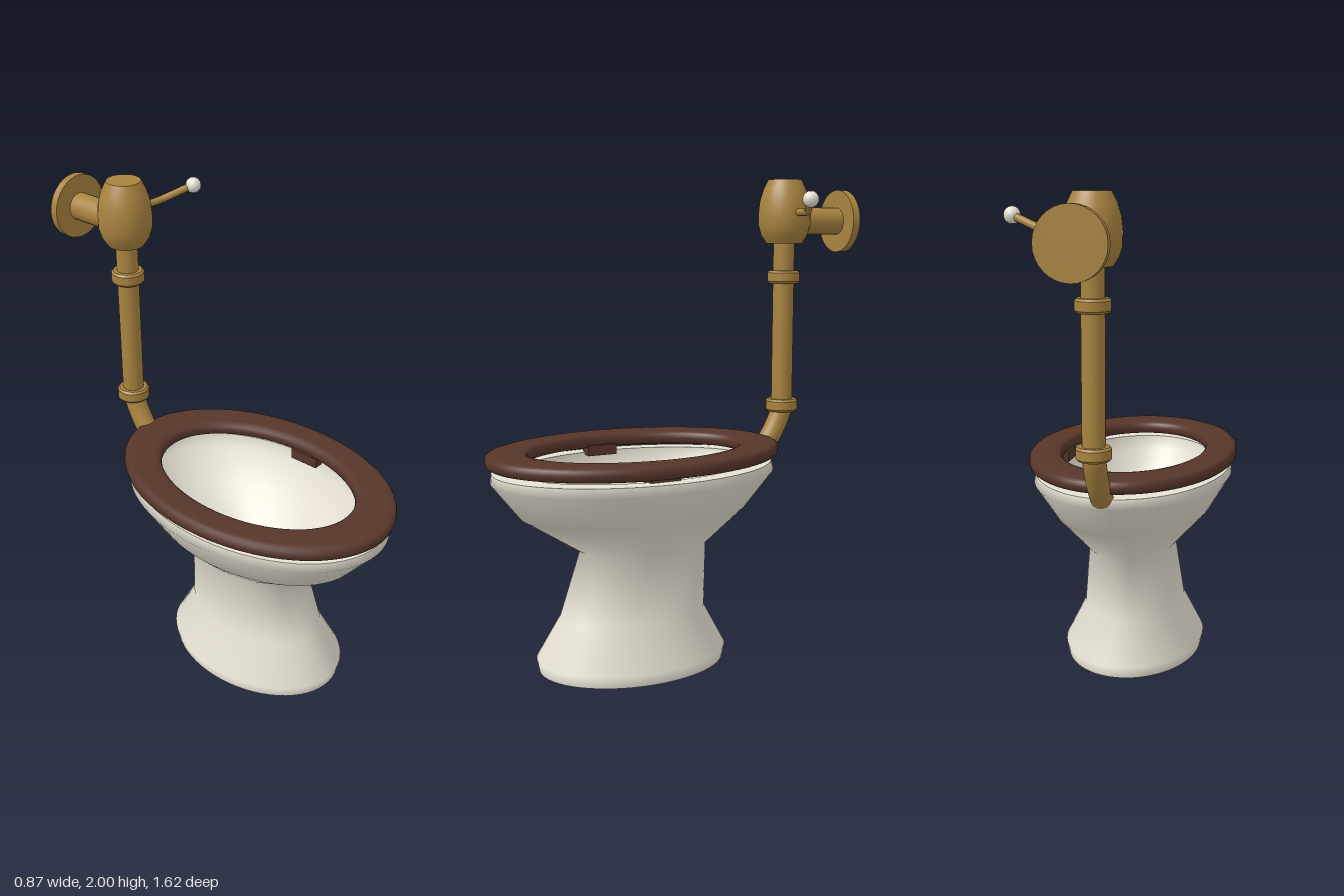
import * as THREE from 'three';
import { mergeGeometries } from 'three/addons/utils/BufferGeometryUtils.js';

const porcelain = new THREE.MeshStandardMaterial({ color: 0xe6e1d3 });
const brass = new THREE.MeshStandardMaterial({ color: 0xa8833f });
const wood = new THREE.MeshStandardMaterial({ color: 0x57362a });

// Skin through elliptical rings given as [y, half width, front z, back z]
function loft(rings, n = 64) {
  const pos = [], idx = [];
  for (const [y, rx, zf, zb] of rings) {
    for (let i = 0; i < n; i++) {
      const a = (i / n) * Math.PI * 2;
      pos.push(rx * Math.cos(a), y, (zf + zb) / 2 + ((zf - zb) / 2) * Math.sin(a));
    }
  }
  for (let r = 0; r < rings.length - 1; r++) {
    for (let i = 0; i < n; i++) {
      const a = r * n + i, b = r * n + ((i + 1) % n);
      idx.push(a, a + n, b, b, a + n, b + n);
    }
  }
  const g = new THREE.BufferGeometry();
  g.setAttribute('position', new THREE.Float32BufferAttribute(pos, 3));
  g.setIndex(idx);
  g.computeVertexNormals();
  return g;
}

export function createModel() {
  const model = new THREE.Group();
  model.name = 'toilet';
  const add = (name, geometry, material, x = 0, y = 0, z = 0) => {
    const mesh = new THREE.Mesh(geometry, material);
    mesh.name = name;
    mesh.position.set(x, y, z);
    model.add(mesh);
    return mesh;
  };

  // Pedestal and bowl: separate skins keep the rim and base edges sharp
  const base = [0, 0.29, 0.6, -0.2];
  const lip = [0.84, 0.41, 0.78, -0.42];
  const innerLip = [0.84, 0.34, 0.69, -0.34];
  const floor = [0.5, 0.155, 0.42, 0];
  add('bowl', mergeGeometries([
    loft([[0, 0, 0.2, 0.2], base]),
    loft([base, [0.05, 0.3, 0.61, -0.21], [0.22, 0.215, 0.51, -0.12], [0.495, 0.183, 0.42, -0.13],
      [0.655, 0.33, 0.67, -0.31], [0.8, 0.415, 0.785, -0.43], lip]),
    loft([lip, innerLip]),
    loft([innerLip, [0.78, 0.335, 0.68, -0.33], [0.64, 0.26, 0.58, -0.2], floor]),
    loft([floor, [0.5, 0, 0.21, 0.21]]),
  ]), porcelain);

  // Seat ring with a rounded, flattened section
  const section = [];
  for (let i = 0; i <= 16; i++) {
    const a = -Math.PI / 2 + (i / 16) * Math.PI * 2;
    const soft = (v) => Math.sign(v) * Math.abs(v) ** 0.6;
    const t = 0.5 + 0.5 * soft(Math.cos(a));
    const half = 0.45 + 0.178 * t;
    section.push([0.89 + 0.032 * soft(Math.sin(a)), 0.3 + 0.135 * t, 0.178 + half, 0.178 - half]);
  }
  add('seat', loft(section), wood);
  for (const s of [-1, 1]) {
    add('seatBumper', new THREE.BoxGeometry(0.065, 0.045, 0.13), wood, s * 0.323, 0.852, 0.207);
  }

  // Supply pipe and its bend into the back of the bowl
  const pz = -0.515;
  add('supplyPipe', new THREE.CylinderGeometry(0.045, 0.045, 0.72, 24), brass, 0, 1.39, pz);
  const bend = new THREE.CatmullRomCurve3([
    new THREE.Vector3(0, 1.04, pz), new THREE.Vector3(0, 1, -0.505),
    new THREE.Vector3(0, 0.9, -0.452), new THREE.Vector3(0, 0.8, -0.365),
  ]);
  add('pipeBend', new THREE.TubeGeometry(bend, 20, 0.045, 24), brass);

  // Lathe whose straight segments keep sharp edges between them
  const turned = (pts) => mergeGeometries(pts.slice(1).map((p, i) =>
    new THREE.LatheGeometry([new THREE.Vector2(...pts[i]), new THREE.Vector2(...p)], 32)));
  for (const y of [1.045, 1.595]) {
    add('collar', turned([[0.03, -0.027], [0.06, -0.027], [0.068, -0.018], [0.068, 0.018],
      [0.06, 0.027], [0.03, 0.027]]), brass, 0, y, pz);
  }

  // Flush valve
  const side = [[0.075, 1.735], [0.098, 1.77], [0.109, 1.81], [0.11, 1.86], [0.105, 1.91], [0.09, 1.96], [0.07, 2]]
    .map((p) => new THREE.Vector2(...p));
  add('valveBody', mergeGeometries([
    turned([[0, 1.735], [0.075, 1.735]]),
    new THREE.LatheGeometry(side, 32),
    turned([[0.07, 2], [0, 2]]),
  ]), brass, 0, 0, pz);

  // Wall connection
  add('wallPipe', new THREE.CylinderGeometry(0.057, 0.057, 0.25, 24), brass, 0, 1.83, -0.66).rotation.x = Math.PI / 2;
  add('wallFlange', new THREE.CylinderGeometry(0.132, 0.132, 0.033, 32), brass, 0, 1.83, -0.793).rotation.x = Math.PI / 2;

  // Flush lever
  const lever = new THREE.CatmullRomCurve3([
    new THREE.Vector3(0.08, 1.865, -0.52), new THREE.Vector3(0.19, 1.865, -0.508),
    new THREE.Vector3(0.24, 1.88, -0.484), new THREE.Vector3(0.325, 1.91, -0.44),
  ]);
  add('lever', new THREE.TubeGeometry(lever, 20, 0.015, 12), brass);
  add('leverKnob', new THREE.SphereGeometry(0.033, 12, 8), porcelain, 0.325, 1.91, -0.438);

  return model;
}
